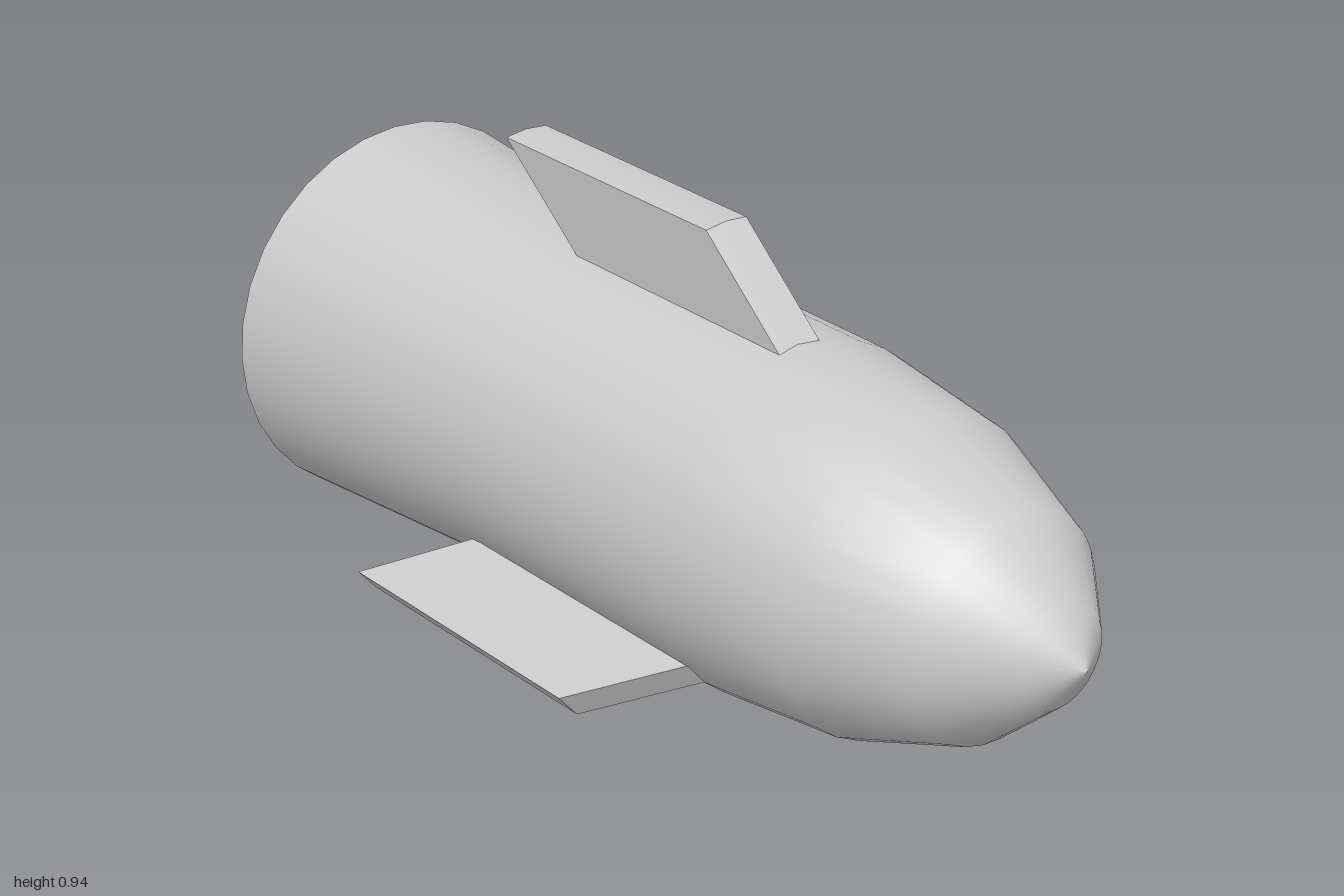
import * as THREE from 'three';

const AXIS_Y = 0.405;

// Swept fin pointing along +y: a box whose ends are sheared backwards with radius
function finGeometry({ width, rootR, tipR, root, tip, arch }) {
  const geo = new THREE.BoxGeometry(width, 1, 1, 2, 1, 1);
  const p = geo.attributes.position;
  for (let i = 0; i < p.count; i++) {
    const outer = p.getY(i) > 0;
    const [front, back] = outer ? tip : root;
    const crown = outer && Math.abs(p.getX(i)) < 1e-4 ? arch : 0;
    p.setY(i, outer ? tipR + crown : rootR);
    p.setZ(i, p.getZ(i) > 0 ? front : back);
  }
  geo.computeVertexNormals();
  return geo;
}

export function createModel() {
  const model = new THREE.Group();
  const grey = new THREE.MeshStandardMaterial({ color: 0xcccccc });
  const shell = new THREE.MeshStandardMaterial({ color: 0xcccccc, side: THREE.DoubleSide });

  // Hollow body: flared open tail, straight middle, rounded nose [radius, z]
  const profile = [
    [0.405, -1], [0.355, -0.35], [0.355, 0.27], [0.32, 0.56],
    [0.228, 0.8], [0.1, 0.94], [0, 1],
  ].map(([r, z]) => new THREE.Vector2(r, z));
  const bodyGeo = new THREE.LatheGeometry(profile, 32);
  bodyGeo.rotateX(Math.PI / 2);
  const body = new THREE.Mesh(bodyGeo, shell);
  body.name = 'body';
  body.position.y = AXIS_Y;
  model.add(body);

  // Wider fin on top
  const topFin = new THREE.Mesh(finGeometry({
    width: 0.098, rootR: 0.35, tipR: 0.53, root: [0.25, -0.34], tip: [0.045, -0.555], arch: 0.005,
  }), grey);
  topFin.name = 'topFin';
  topFin.position.y = AXIS_Y;
  model.add(topFin);

  // Thinner mirrored pair below
  const lowerGeo = finGeometry({
    width: 0.066, rootR: 0.35, tipR: 0.53, root: [0.28, -0.37], tip: [0.066, -0.58], arch: 0,
  });
  for (const side of [1, -1]) {
    const fin = new THREE.Mesh(lowerGeo, grey);
    fin.name = side > 0 ? 'lowerLeftFin' : 'lowerRightFin';
    fin.position.y = AXIS_Y;
    fin.rotation.z = -side * THREE.MathUtils.degToRad(90 + 39.4);
    model.add(fin);
  }
  return model;
}
